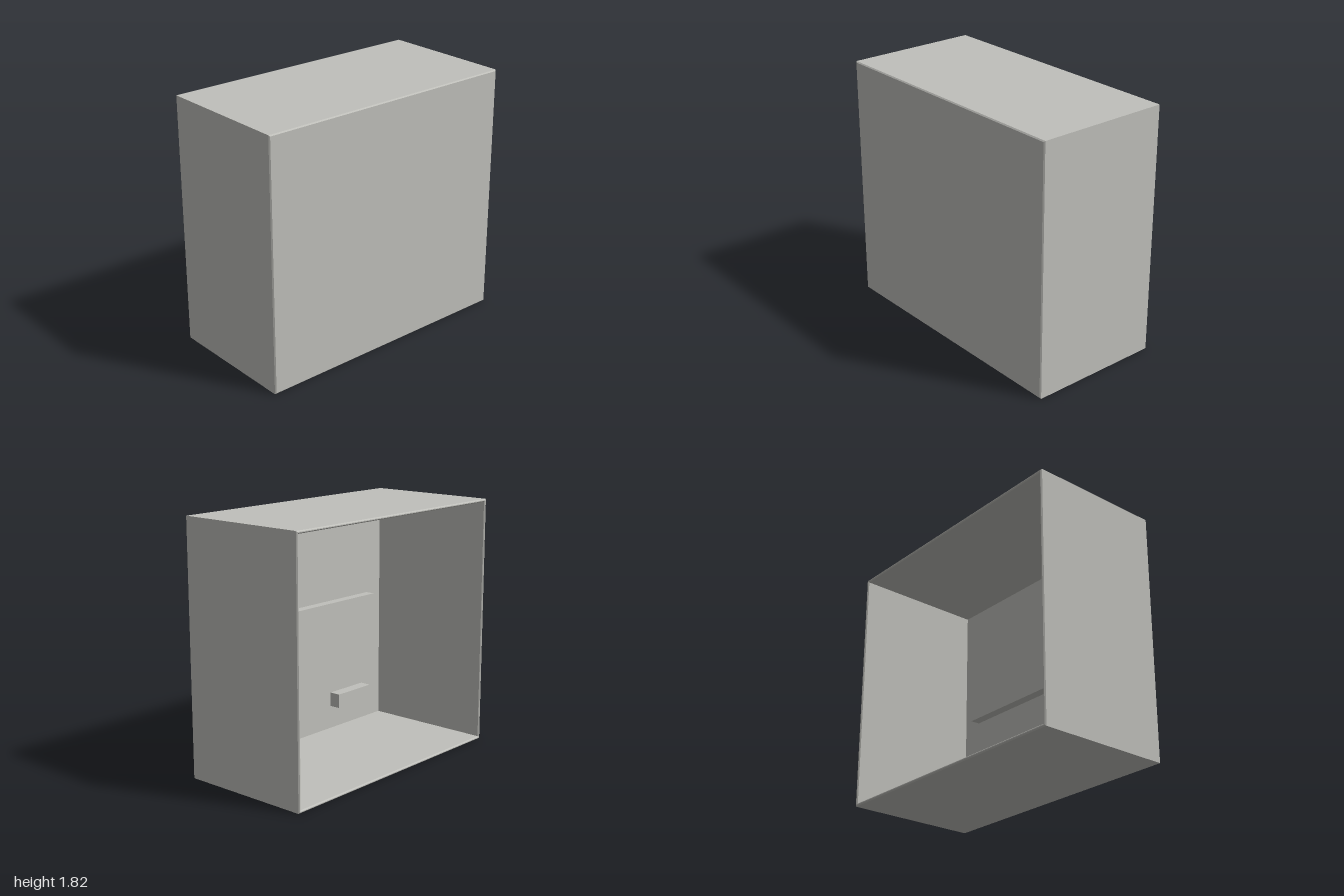
import * as THREE from 'three';

const W = 2, H = 1.82, WALL = 0.02;

// Open-backed box: rectangular rings [inset, z] joined from the front face, round the rear rim, to the inner panel
function openBox(rings) {
  const pts = rings.map(([inset, z]) => {
    const x = W / 2 - inset, y0 = inset, y1 = H - inset;
    return [[-x, y0, z], [x, y0, z], [x, y1, z], [-x, y1, z]];
  });
  const pos = [];
  const quad = (a, b, c, d) => pos.push(...a, ...b, ...c, ...a, ...c, ...d);
  const first = pts[0], last = pts[pts.length - 1];
  quad(first[0], first[1], first[2], first[3]);
  for (let i = 0; i < pts.length - 1; i++) {
    for (let k = 0; k < 4; k++) {
      const n = (k + 1) % 4;
      quad(pts[i][k], pts[i + 1][k], pts[i + 1][n], pts[i][n]);
    }
  }
  quad(last[0], last[3], last[2], last[1]);
  const geo = new THREE.BufferGeometry();
  geo.setAttribute('position', new THREE.Float32BufferAttribute(pos, 3));
  geo.computeVertexNormals();
  return geo;
}

export function createModel() {
  const model = new THREE.Group();
  model.name = 'openBackCabinet';

  const paint = new THREE.MeshStandardMaterial({ color: 0xc0c0bb });
  paint.name = 'warm grey';

  const add = (name, geo, x = 0, y = 0, z = 0) => {
    const mesh = new THREE.Mesh(geo, paint);
    mesh.name = name;
    mesh.position.set(x, y, z);
    model.add(mesh);
  };

  // Thin-walled casing with bevelled front edge and rear rim
  add('casing', openBox([
    [0.008, 0.5], [0, 0.492], [0, -0.492], [0.007, -0.5],
    [0.013, -0.5], [WALL, -0.493], [WALL, 0.48],
  ]));

  // Long bar across the middle of the interior
  add('innerBar', new THREE.BoxGeometry(1.32, 0.32, 0.07), 0, 0.91, 0.308);

  // Small block low on one side
  add('innerBlock', new THREE.BoxGeometry(0.36, 0.105, 0.085), -0.47, 0.295, 0.34);

  return model;
}
